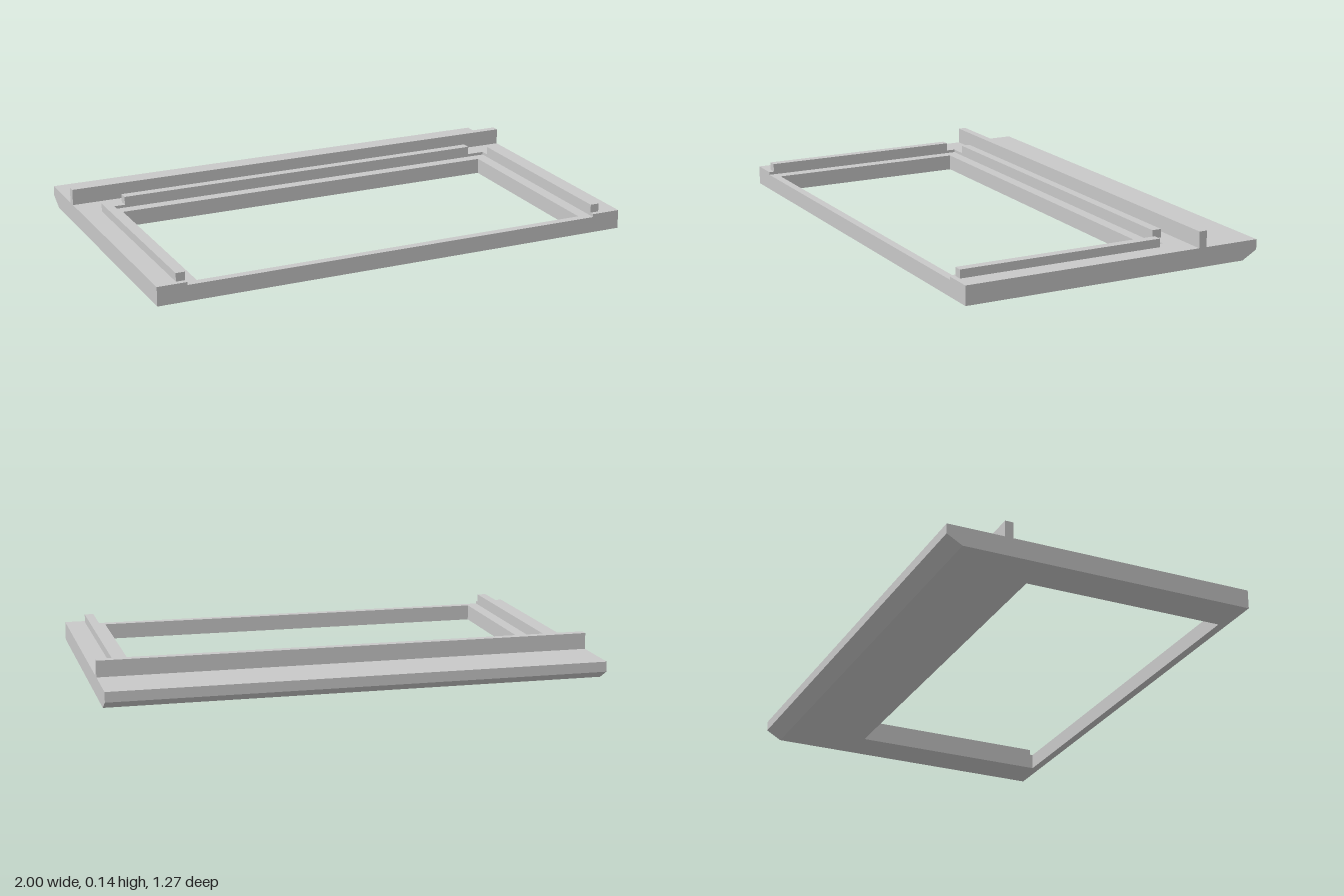
import * as THREE from 'three';

export function createModel() {
  const group = new THREE.Group();
  const grey = new THREE.MeshStandardMaterial({ color: 0xc8c8c8 });
  grey.name = 'lightGrey';

  const add = (name, geometry) => {
    const mesh = new THREE.Mesh(geometry, grey);
    mesh.name = name;
    group.add(mesh);
  };
  // Box from its limits along each axis
  const box = (name, x0, x1, y0, y1, z0, z1) =>
    add(name, new THREE.BoxGeometry(x1 - x0, y1 - y0, z1 - z0)
      .translate((x0 + x1) / 2, (y0 + y1) / 2, (z0 + z1) / 2));
  const points = (list) => list.map(([x, y]) => new THREE.Vector2(x, y));

  const top = 0.077, ledge = 0.065, railTop = 0.111;
  const back = -0.633, front = 0.633, recessBack = -0.281, recessX = 0.88;

  // Rear deck, chamfered underneath along its back edge (profile: -z, y)
  const deck = new THREE.Shape(points([
    [-recessBack, 0], [0.57, 0], [-back, 0.036], [-back, top], [-recessBack, top],
  ]));
  add('rearDeck', new THREE.ExtrudeGeometry(deck, { depth: 2, bevelEnabled: false })
    .translate(0, 0, -1).rotateY(Math.PI / 2));

  // Sunken ledge around the opening, open to the front
  const frame = new THREE.Shape(points([
    [-recessX, -front], [recessX, -front], [recessX, -recessBack], [-recessX, -recessBack],
  ]));
  frame.holes.push(new THREE.Path(points([
    [-0.83, -0.6], [-0.83, 0.233], [0.83, 0.233], [0.83, -0.6],
  ])));
  add('openingLedge', new THREE.ExtrudeGeometry(frame, { depth: ledge, bevelEnabled: false })
    .rotateX(-Math.PI / 2));

  // Side beams and the rails on their inner edges
  for (const [side, s] of [['left', 1], ['right', -1]]) {
    const span = (a, b) => (s > 0 ? [a, b] : [-b, -a]);
    box(side + 'Beam', ...span(recessX, 1), 0, top, recessBack, front);
    box(side + 'Rail', ...span(recessX, 0.917), top, railTop, -0.243, 0.612);
  }

  // Low rear rail and the taller full-width wall behind it
  box('rearRail', -0.805, 0.805, top, railTop, -0.32, recessBack);
  box('rearWall', -1, 1, top, 0.143, -0.4, -0.367);

  return group;
}
